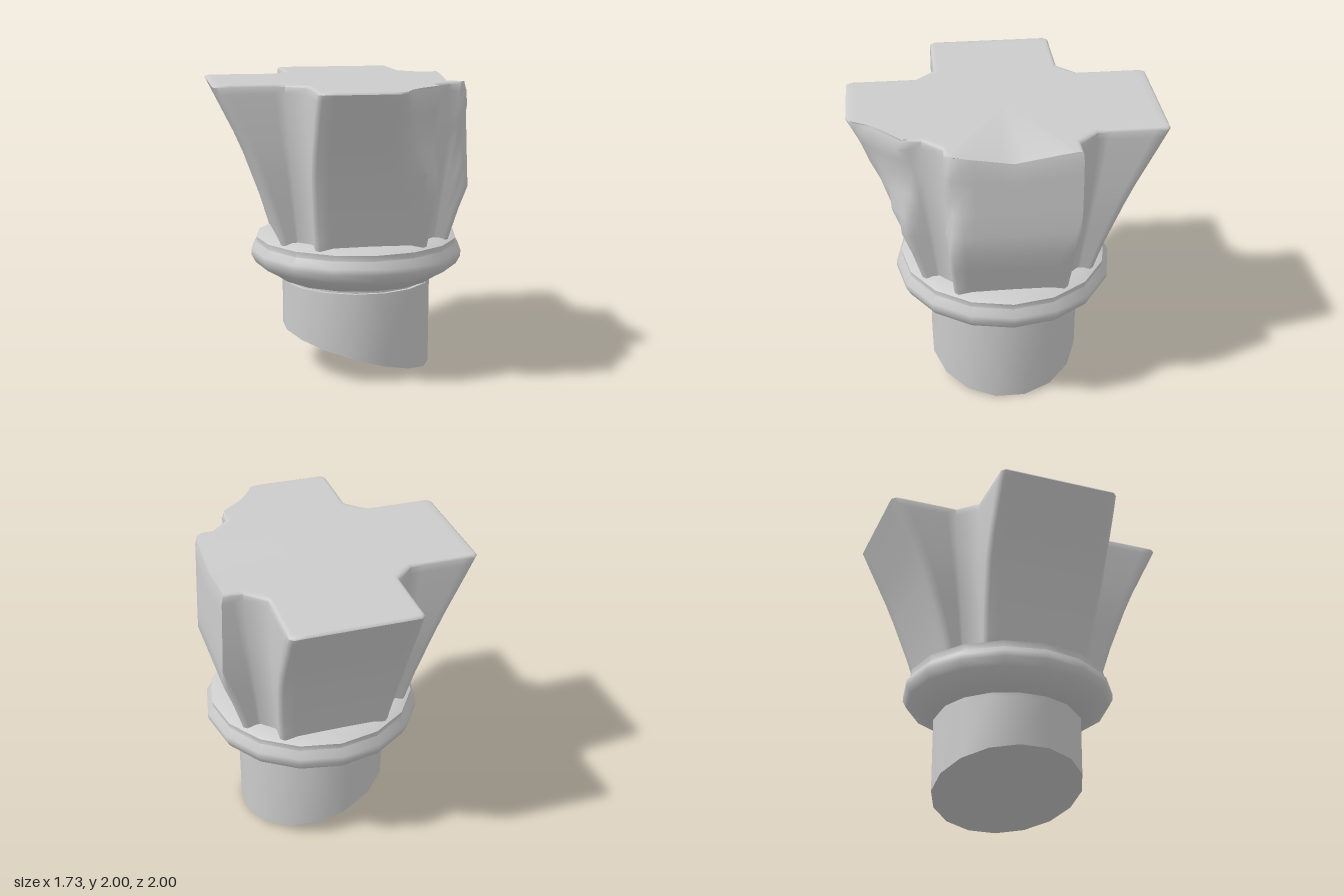
import * as THREE from 'three';
import { toCreasedNormals } from 'three/addons/utils/BufferGeometryUtils.js';

const AXIS_X = 0.135; // the column axis sits off-centre because one arm is broken

// Levels of the cross-shaped bell: [y, arm reach, arm half width, inner corner, scale]
const LEVELS = [
  [0.88, 0.55, 0.365, 0.45, 1],
  [1.0, 0.585, 0.375, 0.46, 1],
  [1.15, 0.63, 0.39, 0.475, 1],
  [1.3, 0.685, 0.403, 0.49, 1],
  [1.45, 0.74, 0.415, 0.505, 1],
  [1.6, 0.805, 0.42, 0.52, 1],
  [1.72, 0.865, 0.42, 0.53, 1],
  [1.84, 0.925, 0.42, 0.537, 1],
  [1.94, 0.975, 0.418, 0.54, 1],
  [1.985, 0.998, 0.416, 0.542, 1],
  [1.996, 0.992, 0.41, 0.535, 1],
  [2.0, 0.98, 0.4, 0.525, 1],
  [2.0, 0.98, 0.4, 0.525, 0.96],
];

// One arm outline, running counter-clockwise from inner corner to inner corner
function armOutline(reach, half, inner) {
  const b = 0.025, pts = [];
  const SIDE = 6, END = 10;
  for (let i = 0; i <= SIDE; i++) pts.push([inner + (reach - b - inner) * i / SIDE, -half]);
  for (let i = 0; i <= END; i++) pts.push([reach, (half - b) * (2 * i / END - 1)]);
  for (let i = SIDE; i >= 0; i--) pts.push([inner + (reach - b - inner) * i / SIDE, half]);
  return pts;
}

// Push a point back to a vertical cutting plane
function cut(p, nx, nz, offset, hollow = 0) {
  const len = Math.hypot(nx, nz);
  const over = (p.x * nx + p.z * nz) / len - offset;
  if (over <= 0) return;
  const push = over + hollow * Math.min(1, over / 0.15);
  p.x -= push * nx / len;
  p.z -= push * nz / len;
}

// Broken left arm and chipped corners
function damage(p, scale) {
  const top = p.y;
  const limit = top > 1.94 ? 0.675 - (top - 1.94) * 0.2 : 0.675 + Math.min(0.02, (1.94 - top) * 0.04);
  if (p.x > limit * scale) p.x = limit * scale;
  // chipped corner of the front arm
  cut(p, 0.35, 0.3, (0.738 + (2 - top) * 0.27) * scale, 0.03);
  // shaved front edge of the broken arm
  const shave = Math.max(0, Math.sin(Math.PI * (top - 1.35) / 0.6));
  if (top > 1.35 && top < 1.95) cut(p, 1, 1, 0.775 - 0.06 * shave);
  // worn dip in the rim of the broken arm
  if (p.x > 0.55 && top > 1.8) {
    p.y -= 0.06 * Math.max(0, 1 - Math.abs(p.z) / 0.36) * Math.min(1, (top - 1.8) / 0.15);
  }
}

function bellGeometry() {
  const pos = [], index = [];
  let count = 0;
  for (const [y, reach, half, inner, scale] of LEVELS) {
    const arm = armOutline(reach, half, inner);
    count = arm.length * 4;
    for (let k = 0; k < 4; k++) {
      const c = Math.round(Math.cos(k * Math.PI / 2)), s = Math.round(Math.sin(k * Math.PI / 2));
      for (const [u, v] of arm) {
        const p = new THREE.Vector3((u * c - v * s) * scale, y, -(u * s + v * c) * scale);
        damage(p, scale);
        pos.push(p.x, p.y, p.z);
      }
    }
  }
  // walls
  for (let l = 0; l < LEVELS.length - 1; l++) {
    for (let i = 0; i < count; i++) {
      const j = (i + 1) % count, lo = l * count, hi = lo + count;
      index.push(lo + i, lo + j, hi + j, lo + i, hi + j, hi + i);
    }
  }
  // top and bottom caps
  const last = (LEVELS.length - 1) * count, topMid = pos.length / 3;
  pos.push(0, 2, 0, 0, LEVELS[0][0], 0);
  for (let i = 0; i < count; i++) {
    const j = (i + 1) % count;
    index.push(topMid, last + i, last + j, topMid + 1, j, i);
  }
  const g = new THREE.BufferGeometry();
  g.setAttribute('position', new THREE.Float32BufferAttribute(pos, 3));
  g.setIndex(index);
  return toCreasedNormals(g, 0.9);
}

// Round shaft whose foot is sliced at a slant
function shaftGeometry() {
  const g = new THREE.CylinderGeometry(0.513, 0.513, 0.62, 16, 1, false, Math.PI / 16);
  g.translate(0, 0.31, 0);
  const p = g.attributes.position;
  for (let i = 0; i < p.count; i++) {
    if (p.getY(i) < 0.1) p.setY(i, 0.28 * (0.503 - p.getX(i)) / 1.006);
  }
  return toCreasedNormals(g, 0.7);
}

function collarGeometry() {
  const profile = [
    [0.4, 0.65], [0.55, 0.65], [0.63, 0.705], [0.7, 0.745], [0.73, 0.8], [0.73, 0.84],
    [0.69, 0.885], [0.695, 0.925], [0.63, 0.955], [0.45, 0.967],
  ].map(([r, y]) => new THREE.Vector2(r, y));
  return toCreasedNormals(new THREE.LatheGeometry(profile, 16), 0.85);
}

export function createModel() {
  const group = new THREE.Group();
  group.name = 'brokenColumnCapital';
  const material = new THREE.MeshStandardMaterial({ color: 0xcccccc });
  const add = (name, geometry) => {
    const mesh = new THREE.Mesh(geometry, material);
    mesh.name = name;
    mesh.position.x = AXIS_X;
    group.add(mesh);
  };

  add('crossBell', bellGeometry());
  add('collar', collarGeometry());
  const neck = new THREE.CylinderGeometry(0.49, 0.49, 0.07, 16, 1, false, Math.PI / 16);
  add('neck', neck.translate(0, 0.625, 0));
  add('shaft', shaftGeometry());
  return group;
}
